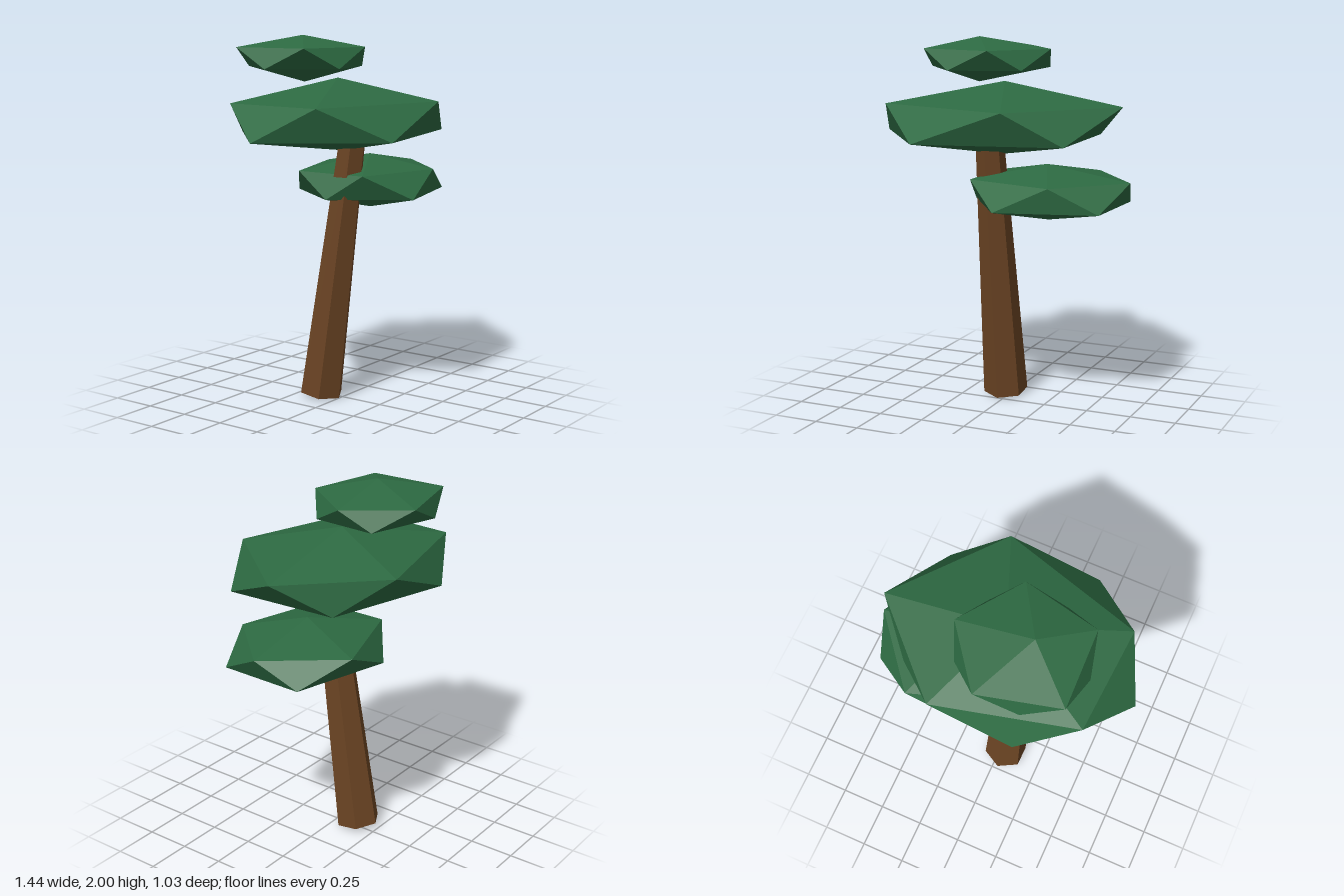
import * as THREE from 'three';

const bark = new THREE.MeshStandardMaterial({ color: 0x6b4423, flatShading: true });
bark.name = 'bark brown';
const leaf = new THREE.MeshStandardMaterial({ color: 0x2d6a42, flatShading: true });
leaf.name = 'leaf green';

// Faceted foliage pad: two staggered five-point rings [x, z] closed by a top and a bottom point
function foliagePad(name, { top, upperY, upper, lowerY, lower, bottom }) {
  const u = upper.map(([x, z]) => [x, upperY, z]);
  const l = lower.map(([x, z]) => [x, lowerY, z]);
  const corners = [];
  for (let i = 0; i < 5; i++) {
    const j = (i + 1) % 5;
    corners.push(top, u[j], u[i]); // crown
    corners.push(u[i], u[j], l[i], l[i], u[j], l[j]); // rim
    corners.push(bottom, l[i], l[j]); // underside
  }
  const geometry = new THREE.BufferGeometry();
  geometry.setAttribute('position', new THREE.Float32BufferAttribute(corners.flat(), 3));
  geometry.computeVertexNormals();
  const mesh = new THREE.Mesh(geometry, leaf);
  mesh.name = name;
  return mesh;
}

export function createModel() {
  const tree = new THREE.Group();
  tree.name = 'tree';

  // Leaning, tapered six-sided trunk, pivoting at its base
  const length = 1.5;
  const trunkGeometry = new THREE.CylinderGeometry(0.075, 0.123, length, 6);
  trunkGeometry.translate(0, length / 2, 0);
  const trunk = new THREE.Mesh(trunkGeometry, bark);
  trunk.name = 'trunk';
  trunk.position.set(-0.034, 0.018, -0.122);
  trunk.rotation.x = THREE.MathUtils.degToRad(8.4);
  tree.add(trunk);

  // Three flattened foliage pads, offset from one another
  tree.add(foliagePad('lowerFoliage', {
    top: [0.26, 1.34, 0], upperY: 1.262, lowerY: 1.127, bottom: [0.27, 1.04, 0],
    upper: [[0.72, -0.02], [0.395, 0.33], [-0.1, 0.2], [-0.1, -0.22], [0.415, -0.4]],
    lower: [[0.64, 0.24], [0.11, 0.385], [-0.155, 0], [0.11, -0.38], [0.65, -0.235]],
  }));
  tree.add(foliagePad('middleFoliage', {
    top: [0, 1.77, -0.03], upperY: 1.652, lowerY: 1.475, bottom: [0, 1.38, 0],
    upper: [[0.656, -0.07], [0.2, 0.48], [-0.575, 0.25], [-0.54, -0.33], [0.21, -0.52]],
    lower: [[0.48, 0.33], [-0.29, 0.515], [-0.72, -0.05], [-0.24, -0.5], [0.45, -0.305]],
  }));
  tree.add(foliagePad('topFoliage', {
    top: [-0.19, 2, -0.12], upperY: 1.938, lowerY: 1.83, bottom: [-0.19, 1.755, -0.11],
    upper: [[0.213, -0.16], [-0.02, 0.16], [-0.435, 0.07], [-0.45, -0.36], [-0.02, -0.47]],
    lower: [[0.125, 0.04], [-0.25, 0.16], [-0.49, -0.14], [-0.25, -0.44], [0.145, -0.32]],
  }));

  return tree;
}
